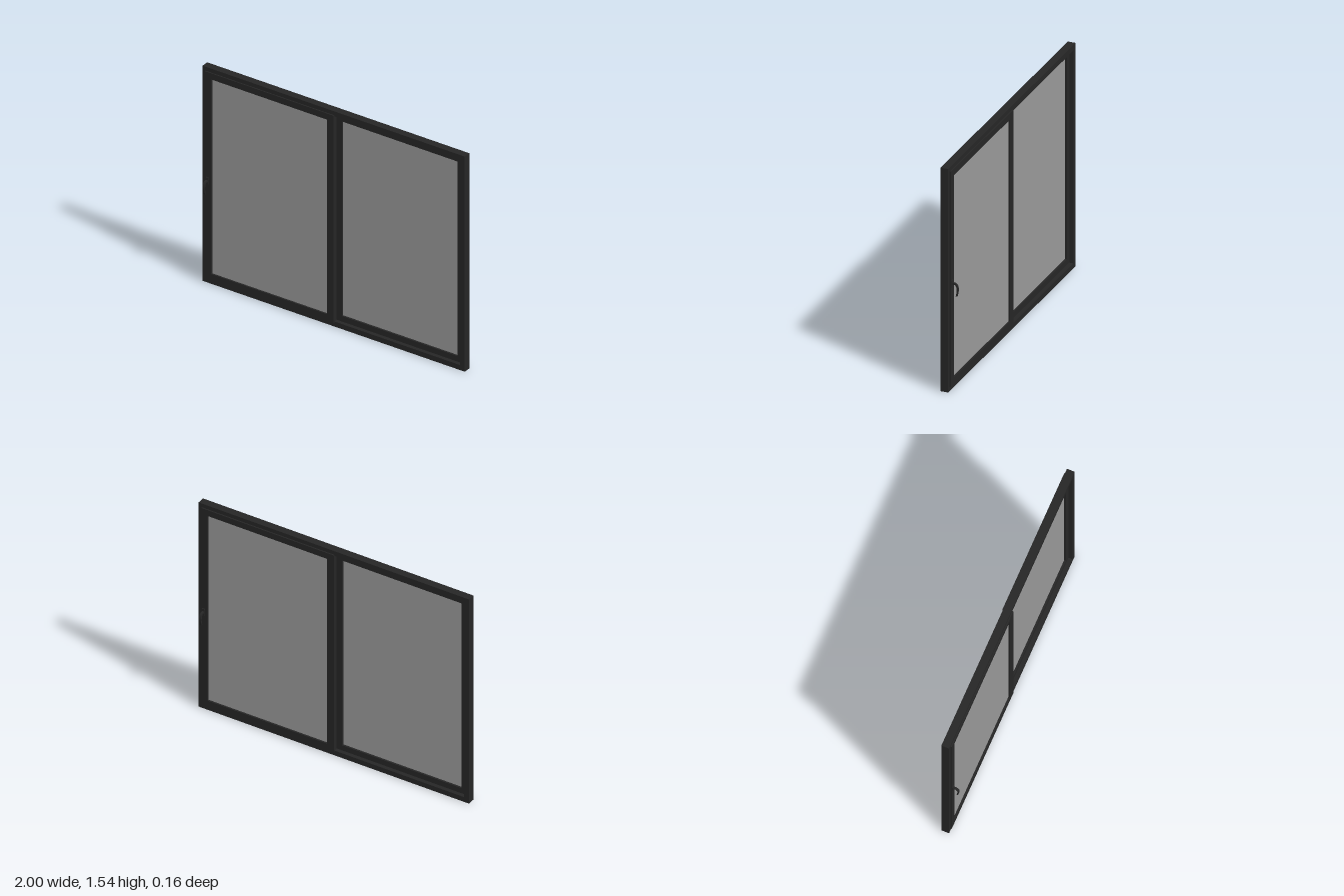
import * as THREE from 'three';

const dark = new THREE.MeshStandardMaterial({ color: 0x262626 });
const glassGrey = new THREE.MeshStandardMaterial({ color: 0x999999 });

function mesh(name, geometry, material = dark) {
  const m = new THREE.Mesh(geometry, material);
  m.name = name;
  return m;
}

function rectangle(PathType, [x0, y0, x1, y1]) {
  return new PathType([
    new THREE.Vector2(x0, y0), new THREE.Vector2(x1, y0),
    new THREE.Vector2(x1, y1), new THREE.Vector2(x0, y1),
  ]).closePath();
}

// Rectangular ring between two [x0, y0, x1, y1] bounds, from z0 to z1
function ring(outer, inner, z0, z1) {
  const shape = rectangle(THREE.Shape, outer);
  shape.holes.push(rectangle(THREE.Path, inner));
  return new THREE.ExtrudeGeometry(shape, { depth: z1 - z0, bevelEnabled: false }).translate(0, 0, z0);
}

// Curved pull: a tapered ribbon drawn in (z, y) and extruded across x
function pullGeometry() {
  const curve = new THREE.CatmullRomCurve3([
    [0.032, 0.737], [0.056, 0.738], [0.069, 0.724], [0.073, 0.695], [0.066, 0.656],
  ].map(([z, y]) => new THREE.Vector3(z, y, 0)));
  const outer = [], inner = [], n = 20;
  for (let i = 0; i <= n; i++) {
    const p = curve.getPoint(i / n), t = curve.getTangent(i / n);
    const half = 0.006 - 0.002 * i / n;
    outer.push(new THREE.Vector2(p.x - t.y * half, p.y + t.x * half));
    inner.unshift(new THREE.Vector2(p.x + t.y * half, p.y - t.x * half));
  }
  const width = 0.014;
  const g = new THREE.ExtrudeGeometry(new THREE.Shape([...outer, ...inner]), { depth: width, bevelEnabled: false });
  return g.translate(0, 0, -width / 2).rotateY(-Math.PI / 2);
}

// Sliding panel on the front track, on the -x side
function createSash() {
  const sash = new THREE.Group();
  const outer = [-0.975, 0.027, 0.006, 1.517];
  const opening = [-0.928, 0.075, -0.045, 1.473];
  sash.add(mesh('sashFrame', ring(outer, opening, 0.001, 0.034)));

  const pane = new THREE.BoxGeometry(0.889, 1.404, 0.008);
  const glass = mesh('glassPane', pane, glassGrey);
  glass.position.set(-0.4865, 0.774, 0.018);
  sash.add(glass);

  const handle = new THREE.Group();
  handle.name = 'handle';
  const plate = mesh('handlePlate', new THREE.BoxGeometry(0.022, 0.05, 0.008));
  plate.position.set(0, 0.737, 0.036);
  handle.add(plate, mesh('handlePull', pullGeometry()));
  handle.position.x = -0.957;
  sash.add(handle);
  return sash;
}

export function createModel() {
  const model = new THREE.Group();
  model.name = 'slidingWindow';

  // Fixed outer frame
  model.add(mesh('outerFrame', ring([-1, 0, 1, 1.545], [-0.965, 0.036, 0.965, 1.509], -0.026, 0.026)));

  // Two identical sashes, the rear one turned half a turn
  ['frontSash', 'rearSash'].forEach((name, i) => {
    const sash = createSash();
    sash.name = name;
    sash.rotation.y = i * Math.PI;
    model.add(sash);
  });
  return model;
}
